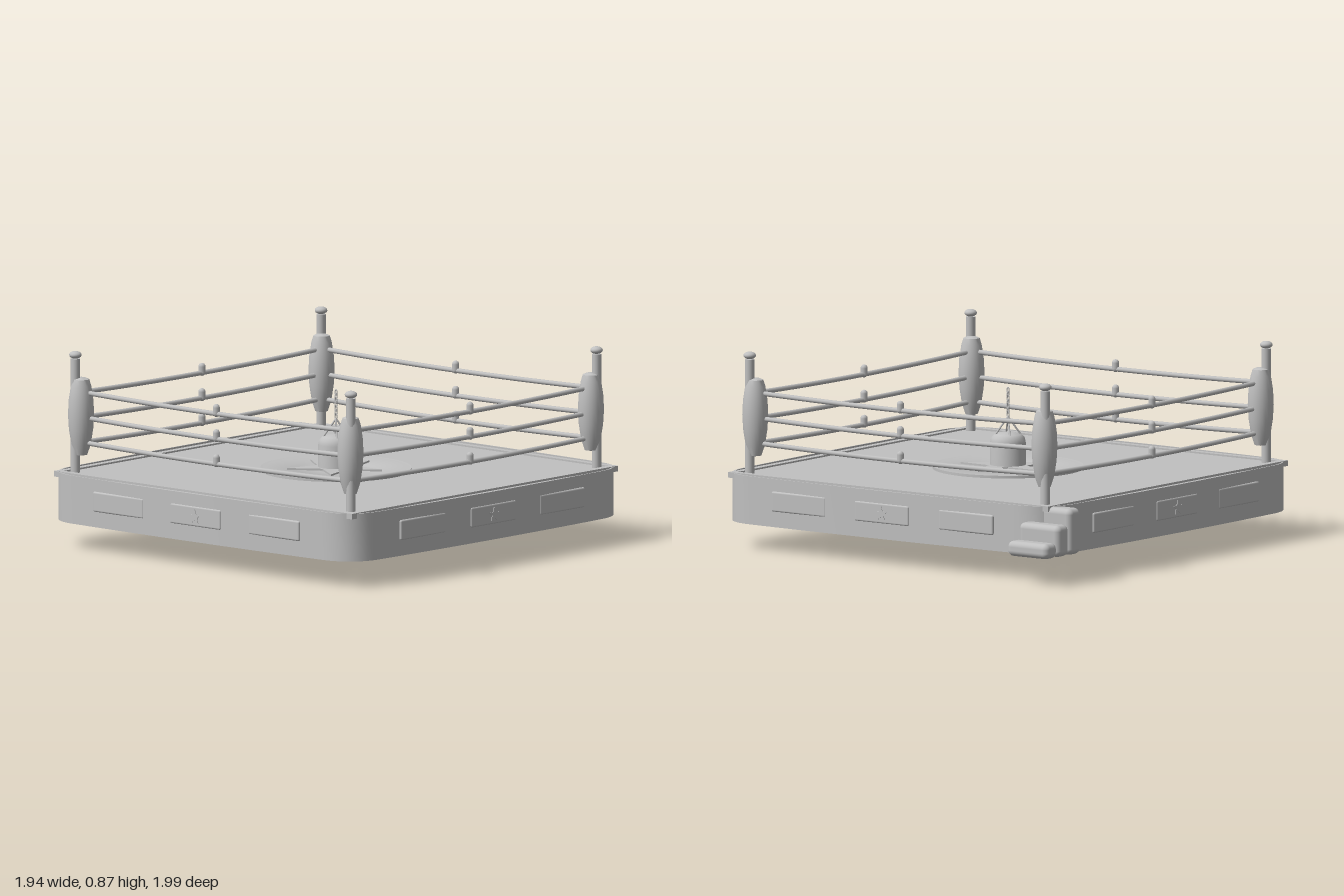
import * as THREE from 'three';
import { toCreasedNormals } from 'three/addons/utils/BufferGeometryUtils.js';
import { RoundedBoxGeometry } from 'three/addons/geometries/RoundedBoxGeometry.js';

const CX = 0.028, CZ = 0.055; // centre of the ring
const V = (x, y, z) => new THREE.Vector3(x, y, z);

// rounded square whose sides can bow outwards
function roundedSquare(h, r, bow = 0, S = THREE.Shape) {
  const s = new S(), k = h - r, b = h + bow;
  s.moveTo(-k, -h);
  s.quadraticCurveTo(0, -b - bow, k, -h);
  s.quadraticCurveTo(h, -h, h, -k);
  s.quadraticCurveTo(b + bow, 0, h, k);
  s.quadraticCurveTo(h, h, k, h);
  s.quadraticCurveTo(0, b + bow, -k, h);
  s.quadraticCurveTo(-h, h, -h, k);
  s.quadraticCurveTo(-b - bow, 0, -h, -k);
  s.quadraticCurveTo(-h, -h, -k, -h);
  return s;
}

function starShape(outer, inner) {
  const s = new THREE.Shape();
  for (let i = 0; i < 10; i++) {
    const a = Math.PI / 2 + i * Math.PI / 5, r = i % 2 ? inner : outer;
    s[i ? 'lineTo' : 'moveTo'](Math.cos(a) * r, Math.sin(a) * r);
  }
  s.closePath();
  return s;
}

export function createModel() {
  const model = new THREE.Group();
  model.name = 'wrestlingRing';
  const grey = new THREE.MeshStandardMaterial({ color: 0xc0c0c0, side: THREE.DoubleSide });
  grey.name = 'lightGrey';

  // everything in the ring is placed relative to its centre
  const ring = new THREE.Group();
  ring.name = 'ring';
  ring.position.set(CX, 0, CZ);
  model.add(ring);

  function add(name, geo, x = 0, y = 0, z = 0, parent = ring) {
    const m = new THREE.Mesh(geo, grey);
    m.name = name;
    m.position.set(x, y, z);
    parent.add(m);
    return m;
  }
  const lathe = (pts, seg = 32) =>
    toCreasedNormals(new THREE.LatheGeometry(pts.map(p => new THREE.Vector2(...p)), seg), 0.6);
  const rod = (a, b, r, mid) => {
    const curve = mid ? new THREE.QuadraticBezierCurve3(a, mid, b) : new THREE.LineCurve3(a, b);
    return new THREE.TubeGeometry(curve, mid ? 24 : 1, r, 8);
  };
  const slab = (shape, depth, bevel = 0) => {
    const g = new THREE.ExtrudeGeometry(shape, {
      depth, curveSegments: 12, bevelEnabled: bevel > 0,
      bevelSize: bevel, bevelThickness: bevel, bevelOffset: -bevel, bevelSegments: 3,
    });
    return toCreasedNormals(g, 0.6);
  };

  // skirt: a thin open wall with rounded corners
  const wall = roundedSquare(0.92, 0.2, 0.013);
  wall.holes.push(roundedSquare(0.914, 0.2, 0.013, THREE.Path));
  add('skirt', slab(wall, 0.215).rotateX(-Math.PI / 2), 0, 0.115);

  // padded floor and the canvas on it
  add('floor', slab(roundedSquare(0.885, 0.13, 0.02), 0.006, 0.012).rotateX(-Math.PI / 2), 0, 0.305);
  add('canvas', new THREE.BoxGeometry(1.72, 0.01, 1.72), 0, 0.32, 0);

  // four equal sides: edge bar, skirt panels, ropes with spacers
  for (let i = 0; i < 4; i++) {
    const side = new THREE.Group();
    side.name = 'side';
    side.rotation.y = i * Math.PI / 2;
    ring.add(side);
    add('edgeBar', new THREE.BoxGeometry(1.77, 0.025, 0.032), 0, 0.32, 0.868, side);

    for (let k = -1; k <= 1; k++) {
      add('skirtPanel', new RoundedBoxGeometry(0.3, 0.09, 0.018, 3, 0.008), k * 0.462, 0.23, k ? 0.924 : 0.928, side);
    }
    add('panelStar', slab(starShape(0.034, 0.014), 0.006), 0, 0.228, 0.934, side);

    for (const y of [0.685, 0.572, 0.46]) {
      add('rope', rod(V(-0.8, y, 0.795), V(0.8, y, 0.795), 0.011, V(0, y - 0.022, 0.795)), 0, 0, 0, side);
      add('ropeSpacer', new THREE.CapsuleGeometry(0.016, 0.026, 4, 12), 0, y + 0.004, 0.795, side);
    }
  }

  // corner posts with pads and caps
  for (const sx of [-1, 1]) for (const sz of [-1, 1]) {
    const post = new THREE.Group();
    post.name = 'cornerPost';
    post.position.set(sx * 0.817, 0, sz * 0.816);
    ring.add(post);
    add('post', new THREE.CylinderGeometry(0.021, 0.021, 0.52, 20), 0, 0.575, 0, post);
    add('postCap', new THREE.SphereGeometry(0.028, 20, 12).scale(1, 0.6, 1), 0, 0.852, 0, post);
    add('cornerPad', lathe([[0, 0.4], [0.028, 0.405], [0.043, 0.45], [0.054, 0.52], [0.058, 0.585],
      [0.055, 0.65], [0.045, 0.715], [0.036, 0.743], [0.02, 0.75], [0, 0.75]], 24),
      -sx * 0.018, 0, -sz * 0.017, post);
  }

  // round emblem in the middle of the canvas
  add('centreDish', lathe([[0.08, 0.327], [0.17, 0.327], [0.18, 0.332], [0.315, 0.336], [0.335, 0.338], [0.335, 0.326]], 64));
  add('centreStar', slab(starShape(0.222, 0.09), 0.008).rotateX(-Math.PI / 2), 0, 0.333);

  // central barrel passing through the floor, with a domed top
  add('barrel', lathe([[0, 0.09], [0.079, 0.09], [0.079, 0.44], [0.074, 0.462], [0.06, 0.476], [0.03, 0.484], [0, 0.486]]));
  for (let i = 0; i < 4; i++) {
    const a = Math.PI / 4 + i * Math.PI / 2;
    add('cord', rod(V(Math.cos(a) * 0.06, 0.47, Math.sin(a) * 0.06), V(0, 0.555, 0), 0.004));
  }
  // hanging chain: links turned a quarter each
  for (let i = 0; i < 7; i++) {
    add('chainLink', new THREE.TorusGeometry(0.008, 0.0028, 6, 10).scale(0.8, 1.4, 1), 0, 0.565 + i * 0.018, 0)
      .rotation.y = i * Math.PI / 2;
  }

  // fitting below the floor: collar, knobs and flared bell
  add('collar', lathe([[0.075, 0.115], [0.105, 0.112], [0.108, 0.088], [0.1, 0.08], [0.075, 0.08], [0.075, 0.115]]));
  for (const sx of [-1, 1]) {
    add('collarKnob', new RoundedBoxGeometry(0.06, 0.03, 0.06, 2, 0.01), sx * 0.125, 0.097, 0);
  }
  add('collarTab', new THREE.BoxGeometry(0.05, 0.05, 0.008), 0, 0.09, 0.125).rotation.x = -0.15;
  add('bell', lathe([[0, 0.095], [0.06, 0.09], [0.068, 0.075], [0.055, 0.058], [0.07, 0.035], [0.09, 0.014],
    [0.088, 0.006], [0.07, 0.016], [0.04, 0.04], [0, 0.045]]));
  add('bellBall', new THREE.SphereGeometry(0.03, 20, 14), 0, 0.03, 0);

  // steps at the back right corner
  [[-0.957, 0.19], [-0.87, 0.262], [-0.783, 0.328]].forEach(([z, top]) => {
    add('step', new RoundedBoxGeometry(0.224, top - 0.122, 0.085, 4, 0.026), -0.862, (top + 0.122) / 2, z, model);
  });

  return model;
}
